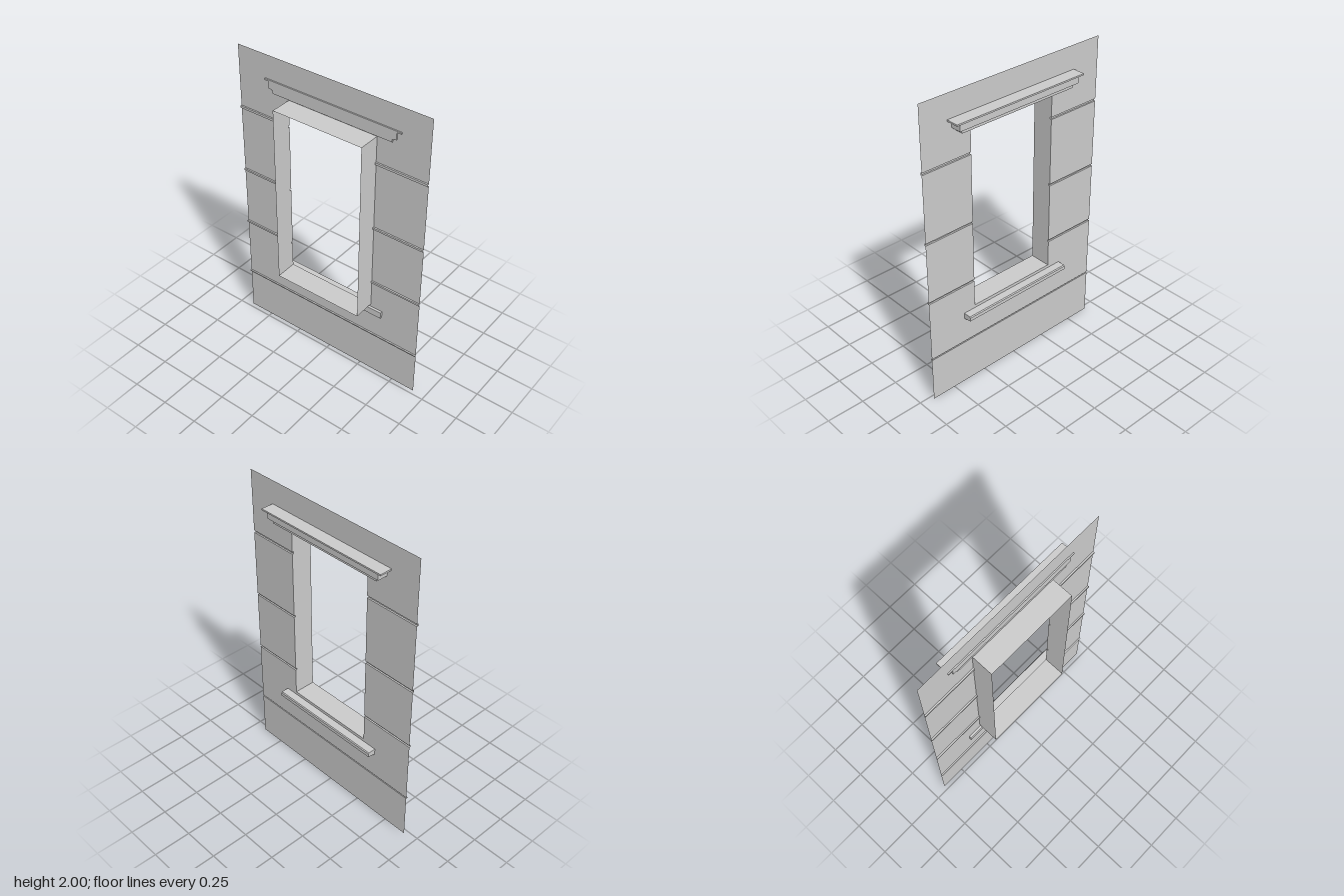
import * as THREE from 'three';

const FACE = 0.028, GROOVE = 0.018, BACK = -0.115;
const HALF_W = 0.665;
const OPEN = { z0: -0.295, z1: 0.32, y0: 0.545, y1: 1.76 };
const MID_Z = 0.006;
const SIDE_GROOVES = [[0.722, 0.735], [1.13, 1.143], [1.58, 1.595]];
const BASE_GROOVES = [[0.304, 0.312]];

const sheet = new THREE.MeshStandardMaterial({ color: 0xcccccc, side: THREE.DoubleSide });
const solid = new THREE.MeshStandardMaterial({ color: 0xcccccc });

// Wall face outline (x, y) from bottom to top, stepping back at each groove
function wallProfile(y0, y1, grooves) {
  const pts = [[FACE, y0]];
  for (const [a, b] of grooves) pts.push([FACE, a], [GROOVE, a], [GROOVE, b], [FACE, b]);
  pts.push([FACE, y1]);
  return pts;
}

// Sweep an (x, y) polyline along z as flat strips facing +x
function strip(pts, z0, z1) {
  const pos = [];
  for (let i = 0; i < pts.length - 1; i++) {
    const [ax, ay] = pts[i], [bx, by] = pts[i + 1];
    pos.push(ax, ay, z1, ax, ay, z0, bx, by, z0);
    pos.push(ax, ay, z1, bx, by, z0, bx, by, z1);
  }
  const g = new THREE.BufferGeometry();
  g.setAttribute('position', new THREE.Float32BufferAttribute(pos, 3));
  g.computeVertexNormals();
  return g;
}

const toShape = (pts) => new THREE.Shape(pts.map(([x, y]) => new THREE.Vector2(x, y)));

export function createModel() {
  const model = new THREE.Group();
  model.name = 'windowWallPanel';
  const add = (name, geometry, material, parent = model) => {
    const mesh = new THREE.Mesh(geometry, material);
    mesh.name = name;
    parent.add(mesh);
    return mesh;
  };

  // Grooved wall sheet around the opening
  const wall = new THREE.Group();
  wall.name = 'wall';
  model.add(wall);
  const sideProfile = wallProfile(OPEN.y0, OPEN.y1, SIDE_GROOVES);
  add('wallBelowOpening', strip(wallProfile(0, OPEN.y0, BASE_GROOVES), -HALF_W, HALF_W), sheet, wall);
  add('wallAboveOpening', strip(wallProfile(OPEN.y1, 2, []), -HALF_W, HALF_W), sheet, wall);
  add('wallLeftOfOpening', strip(sideProfile, OPEN.z1, HALF_W), sheet, wall);
  add('wallRightOfOpening', strip(sideProfile, -HALF_W, OPEN.z0), sheet, wall);

  // Reveal lining the opening, its sides notched where the grooves meet it
  const reveal = new THREE.Group();
  reveal.name = 'reveal';
  model.add(reveal);
  const jamb = toShape([[BACK, OPEN.y0], ...sideProfile, [BACK, OPEN.y1]]);
  add('revealJambRight', new THREE.ShapeGeometry(jamb), sheet, reveal).position.z = OPEN.z0;
  add('revealJambLeft', new THREE.ShapeGeometry(jamb), sheet, reveal).position.z = OPEN.z1;
  add('revealBottom', strip([[FACE, OPEN.y0], [BACK, OPEN.y0]], OPEN.z0, OPEN.z1), sheet, reveal);
  add('revealTop', strip([[BACK, OPEN.y1], [FACE, OPEN.y1]], OPEN.z0, OPEN.z1), sheet, reveal);

  // Stepped cornice over the opening: back, front, bottom, top, half length
  const cornice = new THREE.Group();
  cornice.name = 'cornice';
  model.add(cornice);
  const tiers = [
    ['corniceBed', 0.022, 0.080, 1.765, 1.786, 0.416],
    ['corniceBedFillet', 0.022, 0.086, 1.784, 1.791, 0.425],
    ['corniceFrieze', 0.020, 0.096, 1.790, 1.837, 0.444],
    ['corniceCap', 0.020, 0.110, 1.837, 1.847, 0.474],
  ];
  for (const [name, x0, x1, y0, y1, half] of tiers) {
    add(name, new THREE.BoxGeometry(x1 - x0, y1 - y0, half * 2), solid, cornice)
      .position.set((x0 + x1) / 2, (y0 + y1) / 2, MID_Z);
  }

  // Sill with sloped underside
  const sillShape = toShape([[0.012, 0.48], [0.083, 0.495], [0.083, 0.518], [0.078, 0.525], [0.012, 0.525]]);
  const sillLength = 0.795;
  add('sill', new THREE.ExtrudeGeometry(sillShape, { depth: sillLength, bevelEnabled: false }), solid)
    .position.z = MID_Z - sillLength / 2;

  return model;
}
